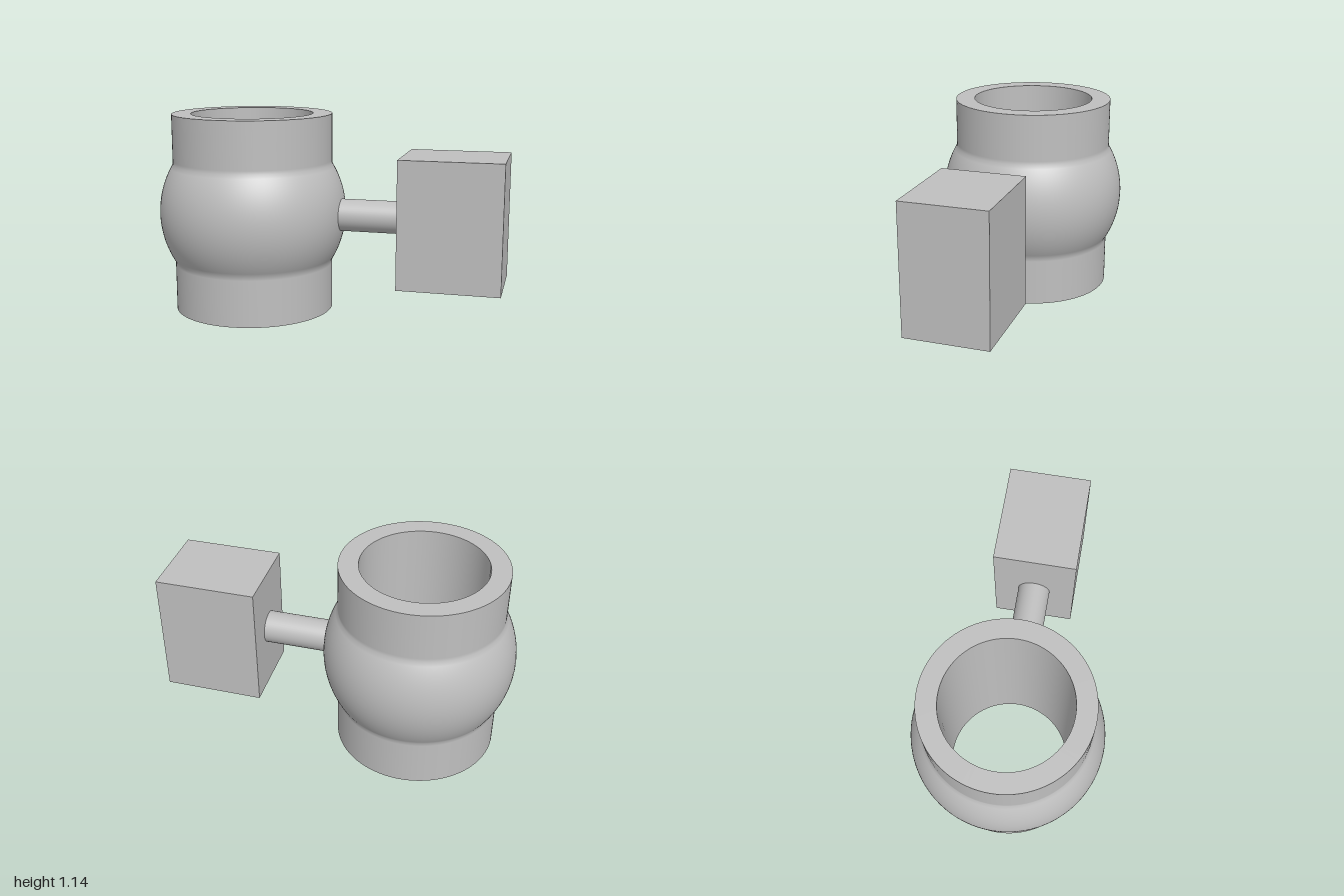
import * as THREE from 'three';

const AXIS_X = -0.46, MID_Y = 0.57, HEIGHT = 1.14;
const OUTER = 0.46, BORE = 0.35, BALL = 0.54;

export function createModel() {
  const model = new THREE.Group();
  model.name = 'valve';
  const grey = new THREE.MeshStandardMaterial({ color: 0xbfbfbf });
  grey.name = 'plain grey';

  const add = (parent, name, geometry, x, y, z = 0) => {
    const mesh = new THREE.Mesh(geometry, grey);
    mesh.name = name;
    mesh.position.set(x, y, z);
    parent.add(mesh);
    return mesh;
  };
  // Separate lathed surfaces keep the rims sharp
  const lathe = (points) =>
    new THREE.LatheGeometry(points.map(([r, y]) => new THREE.Vector2(r, y)), 96);

  // Pipe body: a straight tube with a spherical bulge around its middle
  const body = new THREE.Group();
  body.name = 'pipeBody';
  model.add(body);

  const reach = Math.acos(OUTER / BALL);
  const outer = [[OUTER, 0], [OUTER, MID_Y - BALL * Math.sin(reach) - 0.02]];
  for (let i = 0; i <= 24; i++) {
    const a = -reach + (2 * reach * i) / 24;
    outer.push([BALL * Math.cos(a), MID_Y + BALL * Math.sin(a)]);
  }
  outer.push([OUTER, MID_Y + BALL * Math.sin(reach) + 0.02], [OUTER, HEIGHT]);

  add(body, 'outerWall', lathe(outer), AXIS_X, 0);
  add(body, 'topRim', lathe([[OUTER, HEIGHT], [BORE, HEIGHT]]), AXIS_X, 0);
  add(body, 'bore', lathe([[BORE, HEIGHT], [BORE, 0]]), AXIS_X, 0);
  add(body, 'bottomRim', lathe([[BORE, 0], [OUTER, 0]]), AXIS_X, 0);

  // Stem joining the bulge to the actuator
  const stemStart = 0.06, stemEnd = 0.43;
  const stem = add(model, 'stem',
    new THREE.CylinderGeometry(0.092, 0.092, stemEnd - stemStart, 48),
    (stemStart + stemEnd) / 2, MID_Y);
  stem.rotation.z = Math.PI / 2;

  // Actuator block
  add(model, 'actuatorBox', new THREE.BoxGeometry(0.57, 0.72, 0.468), 0.715, MID_Y);

  return model;
}
